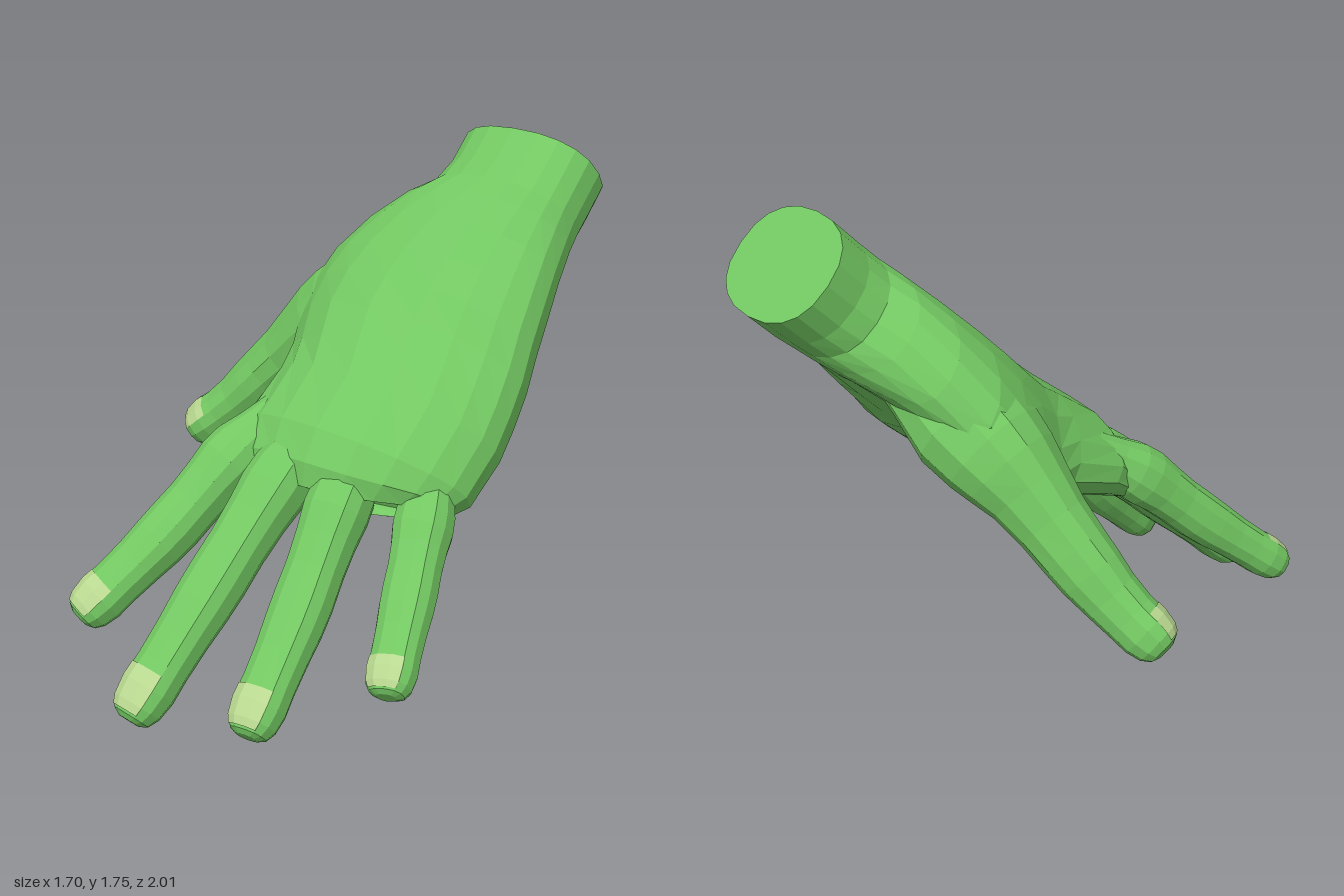
import * as THREE from 'three';

const skin = new THREE.MeshStandardMaterial({ color: 0x73c862, flatShading: true });
const nailMat = new THREE.MeshStandardMaterial({ color: 0xb9d890, flatShading: true, side: THREE.DoubleSide });
const V = (x, y, z) => new THREE.Vector3(x, y, z);
const backNormal = V(0, 0.73, 0.68).normalize();
const armDirection = V(0, -0.68, 0.73).normalize();
const rounded = v => Math.sign(v) * Math.abs(v) ** 0.85;

// Skin over a row of rings; closed rings get end caps
function loft(rings, closed) {
  const n = rings[0].length, pts = rings.flat(), index = [];
  for (let i = 0; i < rings.length - 1; i++) {
    for (let j = 0; j < (closed ? n : n - 1); j++) {
      const a = i * n + j, b = i * n + (j + 1) % n;
      index.push(a, b, a + n, b, b + n, a + n);
    }
  }
  if (closed) {
    for (const i of [0, rings.length - 1]) {
      const centre = rings[i].reduce((s, p) => s.add(p), V(0, 0, 0)).divideScalar(n);
      const c = pts.push(centre) - 1;
      for (let j = 0; j < n; j++) {
        const a = i * n + j, b = i * n + (j + 1) % n;
        if (i) index.push(a, b, c); else index.push(b, a, c);
      }
    }
  }
  const geo = new THREE.BufferGeometry().setFromPoints(pts);
  geo.setIndex(index);
  geo.computeVertexNormals();
  return geo;
}

function addMesh(group, name, geo, mat) {
  const mesh = new THREE.Mesh(geo, mat);
  mesh.name = name;
  group.add(mesh);
}

// Wrist and palm: top y, top z, half thickness, x at thumb edge, x at outer edge,
// droop at thumb edge, droop at outer edge, pull-back of the outer edge, heel bulge
function buildPalm(group) {
  const rows = [
    [1.75, -0.73, 0.2, 0.03, 0.585, 0, 0, 0, 0],
    [1.66, -0.64, 0.2, 0.03, 0.585, 0, 0, 0, 0],
    [1.6, -0.58, 0.197, 0.005, 0.587, 0, 0, 0, 0],
    [1.55, -0.53, 0.195, -0.09, 0.59, 0.0, 0.01, 0, 0],
    [1.47, -0.445, 0.19, -0.22, 0.6, 0.04, 0.03, 0, 0.03],
    [1.37, -0.34, 0.185, -0.33, 0.62, 0.09, 0.05, 0, 0.07],
    [1.28, -0.245, 0.182, -0.38, 0.637, 0.14, 0.07, 0, 0.09],
    [1.19, -0.15, 0.18, -0.39, 0.655, 0.19, 0.1, 0, 0.1],
    [1.1, -0.05, 0.175, -0.33, 0.67, 0.18, 0.12, 0, 0.1],
    [1.02, 0.05, 0.17, -0.255, 0.68, 0.1, 0.14, 0, 0.1],
    [0.88, 0.235, 0.15, -0.215, 0.675, 0.05, 0.17, 0.04, 0.1],
    [0.775, 0.3, 0.11, -0.18, 0.65, 0.04, 0.16, 0.1, 0.08],
    [0.69, 0.31, 0.055, -0.13, 0.6, 0.04, 0.14, 0.13, 0.03],
  ];
  const sides = 20;
  const rings = rows.map(([y, z, h, x0, x1, droop0, droop1, pull, heel]) =>
    Array.from({ length: sides }, (_, j) => {
      const a = j / sides * Math.PI * 2, t = rounded(Math.cos(a)), s = rounded(Math.sin(a));
      const sag = t * t * (t > 0 ? droop1 : droop0) + heel * Math.max(0, t) * Math.max(0, -s);
      return V((x0 + x1) / 2 + t * (x1 - x0) / 2, y, z)
        .addScaledVector(backNormal, h * (s - 1) - sag)
        .addScaledVector(armDirection, t > 0 ? -pull * t * t : 0);
    }));
  addMesh(group, 'palmAndWrist', loft(rings, true), skin);
}

// A digit follows a curve; widths and heights are given at each path point
function buildDigit(group, name, path, widths, heights, up, nailFrom) {
  const curve = new THREE.CatmullRomCurve3(path.map(p => V(...p)));
  const lerpAt = (list, t) => {
    const s = t * (list.length - 1), i = Math.min(Math.floor(s), list.length - 2);
    return THREE.MathUtils.lerp(list[i], list[i + 1], s - i);
  };
  const ring = (t, scale, angles) => {
    const c = curve.getPoint(t), T = curve.getTangent(t);
    const n = up.clone().addScaledVector(T, -up.dot(T)).normalize();
    const side = n.clone().cross(T);
    const swell = scale * (1 + 0.04 * Math.cos(t * Math.PI * 6));
    return angles.map(a => c.clone()
      .addScaledVector(side, rounded(Math.cos(a)) * lerpAt(widths, t) * swell)
      .addScaledVector(n, rounded(Math.sin(a)) * lerpAt(heights, t) * swell));
  };
  const around = Array.from({ length: 12 }, (_, j) => (j + 0.5) / 12 * Math.PI * 2);
  const stations = [0, 0.1, 0.2, 0.3, 0.37, 0.45, 0.54, 0.63, 0.7, 0.78, 0.86, 0.92].map(t => [t, 1]);
  stations.push([0.965, 0.88], [0.99, 0.68], [1, 0.4]);
  const digit = new THREE.Group();
  digit.name = name;
  addMesh(digit, name + 'Flesh', loft(stations.map(([t, s]) => ring(t, s, around)), true), skin);

  // Nail patch lying just above the tip
  const arc = [3, 5, 7, 9].map(k => k / 12 * Math.PI);
  const nailRows = [[nailFrom, 1.03], [0.92, 1.035], [0.965, 0.92], [0.985, 0.78]];
  addMesh(digit, name + 'Nail', loft(nailRows.map(([t, s]) => ring(t, s, arc)), false), nailMat);
  group.add(digit);
}

export function createModel() {
  const hand = new THREE.Group();
  hand.name = 'hand';
  buildPalm(hand);

  // Four fingers, rooted inside the palm
  const fingers = [
    ['indexFinger', [[-0.05, 0.85, 0.04], [-0.12, 0.69, 0.265], [-0.21, 0.455, 0.52], [-0.335, 0.2, 0.825]], 1],
    ['middleFinger', [[0.11, 0.86, 0.03], [0.105, 0.67, 0.28], [0.095, 0.37, 0.62], [0.075, 0.035, 0.98]], 1.03],
    ['ringFinger', [[0.3, 0.82, 0.03], [0.34, 0.64, 0.24], [0.395, 0.35, 0.51], [0.455, 0.06, 0.825]], 1],
    ['littleFinger', [[0.52, 0.78, -0.06], [0.595, 0.6, 0.11], [0.682, 0.415, 0.3], [0.79, 0.21, 0.54]], 0.91],
  ];
  for (const [name, path, size] of fingers) {
    buildDigit(hand, name, path, [0.07, 0.108, 0.095, 0.09].map(r => r * size),
      [0.06, 0.108, 0.09, 0.078].map(r => r * size), backNormal, 0.885);
  }

  // Thumb with its fleshy base
  buildDigit(hand, 'thumb',
    [[0.16, 1.28, -0.55], [-0.12, 1.1, -0.47], [-0.31, 0.95, -0.405], [-0.49, 0.77, -0.35], [-0.65, 0.6, -0.28], [-0.81, 0.46, -0.2]],
    [0.13, 0.21, 0.175, 0.118, 0.1, 0.094], [0.12, 0.2, 0.155, 0.115, 0.1, 0.085],
    V(-0.3, 0.73, 0.55).normalize(), 0.89);
  return hand;
}
